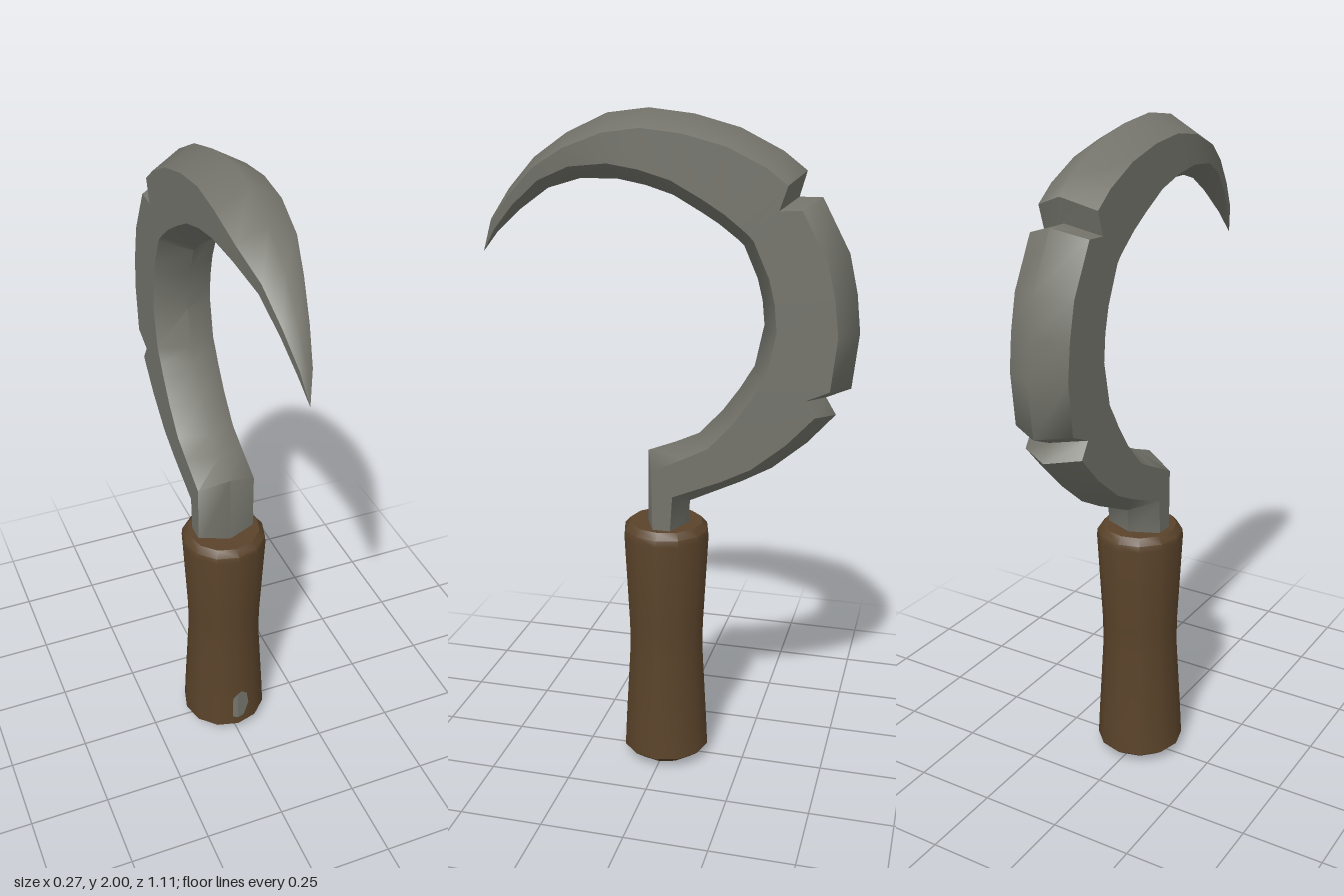
import * as THREE from 'three';
import { toCreasedNormals } from 'three/addons/utils/BufferGeometryUtils.js';

const steel = new THREE.MeshStandardMaterial({ color: 0x73736b });
steel.name = 'dull steel';
const wood = new THREE.MeshStandardMaterial({ color: 0x5a432a });
wood.name = 'brown wood';

// Blade stations: outer z, outer y, inner z, inner y, half width
const STATIONS = [
  [-0.07, 0.75, 0.058, 0.75, 0.09],
  [-0.073, 0.86, 0.055, 1.01, 0.09],
  [-0.23, 0.935, -0.03, 1.043, 0.09],
  [-0.32, 0.985, -0.10, 1.075, 0.09],
  [-0.42, 1.07, -0.17, 1.15, 0.09],
  [-0.50, 1.16, -0.22, 1.22, 0.09],
  [-0.47, 1.21, -0.235, 1.245, 0.09], // lower nick
  [-0.54, 1.24, -0.262, 1.29, 0.09],
  [-0.557, 1.40, -0.287, 1.41, 0.09],
  [-0.545, 1.51, -0.28, 1.48, 0.09],
  [-0.52, 1.62, -0.265, 1.54, 0.09],
  [-0.44, 1.77, -0.225, 1.63, 0.09],
  [-0.375, 1.77, -0.21, 1.645, 0.09], // upper nick
  [-0.395, 1.84, -0.19, 1.66, 0.09],
  [-0.33, 1.89, -0.15, 1.69, 0.09],
  [-0.21, 1.95, -0.10, 1.72, 0.09],
  [-0.08, 1.985, -0.02, 1.765, 0.09],
  [0.05, 2.0, 0.06, 1.79, 0.09],
  [0.17, 1.985, 0.14, 1.805, 0.09],
  [0.29, 1.93, 0.25, 1.805, 0.08],
  [0.39, 1.86, 0.35, 1.775, 0.055],
  [0.47, 1.77, 0.44, 1.71, 0.035],
  [0.53, 1.68, 0.51, 1.645, 0.017],
  [0.557, 1.585, 0.557, 1.585, 0],
];

// Six-sided section: ridges on the outer and inner edges, flat cheeks
function section([oz, oy, iz, iy, w]) {
  const len = Math.hypot(iz - oz, iy - oy) || 1;
  const t = Math.min(0.3, (0.05 * w) / 0.09 / len);
  const at = (x, k) => new THREE.Vector3(x, oy + (iy - oy) * k, oz + (iz - oz) * k);
  return [at(-w, t), at(0, 0), at(w, t), at(w, 1 - t), at(0, 1), at(-w, 1 - t)];
}

// Skin some neighbouring columns of the section along the blade
function strip(name, columns) {
  const rings = STATIONS.map(section);
  const pos = [];
  const push = (...pts) => pts.forEach((p) => pos.push(p.x, p.y, p.z));
  for (let i = 0; i < rings.length - 1; i++) {
    for (let j = 0; j < columns.length - 1; j++) {
      const a = rings[i][columns[j]], b = rings[i + 1][columns[j]];
      const c = rings[i][columns[j + 1]], d = rings[i + 1][columns[j + 1]];
      push(a, b, c);
      if (i < rings.length - 2) push(c, b, d);
    }
  }
  const geo = new THREE.BufferGeometry();
  geo.setAttribute('position', new THREE.Float32BufferAttribute(pos, 3));
  const mesh = new THREE.Mesh(toCreasedNormals(geo, 1.05), steel);
  mesh.name = name;
  return mesh;
}

// Worn spot: two thin halves folded over the front edge of the grip
function wornSpot() {
  const group = new THREE.Group();
  group.name = 'wornSpot';
  const halves = [
    [[0, 0.065], [0, 0.17], [-0.015, 0.15], [-0.018, 0.07]],
    [[0, 0.065], [0.022, 0.065], [0.042, 0.11], [0.036, 0.155], [0.015, 0.175], [0, 0.17]],
  ];
  for (const pts of halves) {
    const geo = new THREE.ShapeGeometry(new THREE.Shape(pts.map((p) => new THREE.Vector2(...p))));
    const p = geo.attributes.position;
    for (let i = 0; i < p.count; i++) {
      p.setZ(i, 0.139 - 0.055 * p.getY(i) - 0.268 * Math.abs(p.getX(i)));
    }
    geo.computeVertexNormals();
    group.add(new THREE.Mesh(geo, steel));
  }
  return group;
}

export function createModel() {
  const model = new THREE.Group();
  model.name = 'sickle';

  // Waisted wooden grip
  const profile = [[0, 0], [0.1, 0.008], [0.135, 0.035], [0.131, 0.12], [0.116, 0.38],
    [0.117, 0.46], [0.132, 0.75], [0.13, 0.77], [0.112, 0.79], [0, 0.79]]
    .map((p) => new THREE.Vector2(...p));
  const handle = new THREE.Mesh(toCreasedNormals(new THREE.LatheGeometry(profile, 12), 0.75), wood);
  handle.name = 'handle';
  model.add(handle, wornSpot());

  // Hooked blade with its tang
  const blade = new THREE.Group();
  blade.name = 'blade';
  blade.add(
    strip('bladeBack', [0, 1, 2]),
    strip('bladeLeftCheek', [2, 3]),
    strip('bladeInnerEdge', [3, 4, 5]),
    strip('bladeRightCheek', [5, 0]),
  );
  model.add(blade);
  return model;
}
